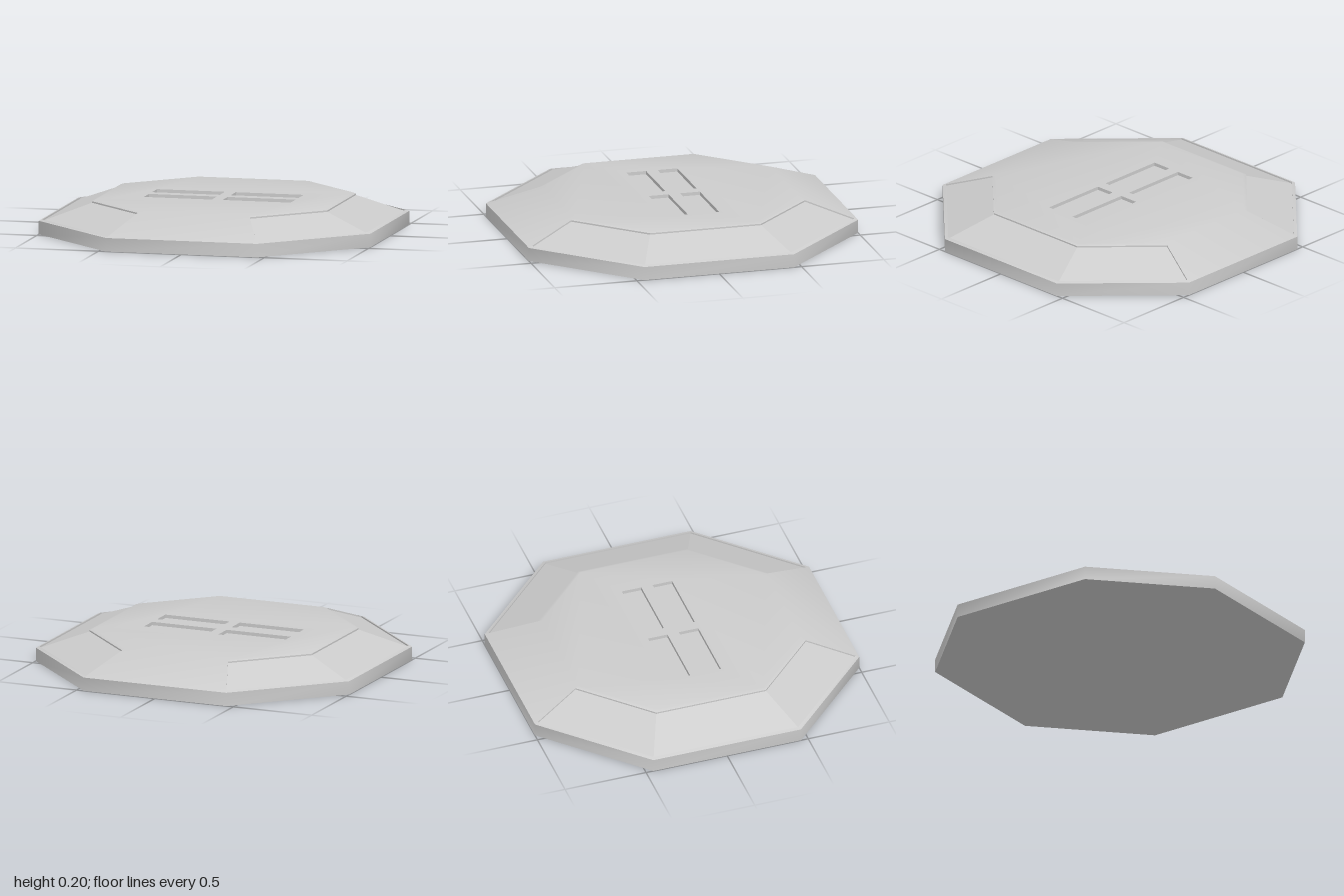
import * as THREE from 'three';
import { mergeGeometries, toCreasedNormals } from 'three/addons/utils/BufferGeometryUtils.js';

const TOP = 0.197, SLOT_DEPTH = 0.02;

// Octagon ring: half size a, corner offset b, height y; counterclockwise from above
const ring = (a, b, y) =>
  [[b, a], [a, b], [a, -b], [b, -a], [-b, -a], [-a, -b], [-a, b], [-b, a]]
    .map(([x, z]) => new THREE.Vector3(x, y, z));

function quads(list) {
  const pos = [];
  for (const [a, b, c, d] of list)
    for (const p of [a, b, c, a, c, d]) pos.push(p.x, p.y, p.z);
  const g = new THREE.BufferGeometry();
  g.setAttribute('position', new THREE.Float32BufferAttribute(pos, 3));
  g.computeVertexNormals();
  return g;
}

// Face between two rings on side i
const side = (lo, hi, i) => {
  const j = (i + 1) % 8;
  return [lo[i], lo[j], hi[j], hi[i]];
};

// Flat horizontal face from a shape drawn in (x, -z)
function flat(shape, y, down = false) {
  const g = new THREE.ShapeGeometry(shape).toNonIndexed();
  g.deleteAttribute('uv');
  g.rotateX(-Math.PI / 2);
  if (down) g.rotateX(Math.PI);
  g.translate(0, y, 0);
  return g;
}

export function createModel() {
  const group = new THREE.Group();
  const material = new THREE.MeshStandardMaterial({ color: 0xcccccc, side: THREE.DoubleSide });
  const add = (name, geometry) => {
    const mesh = new THREE.Mesh(geometry, material);
    mesh.name = name;
    group.add(mesh);
  };

  const foot = ring(1, 0.455, 0), rim = ring(1, 0.455, 0.08);
  const lip = ring(0.98, 0.447, 0.0875), panelLow = ring(0.98, 0.447, 0.0785);
  const panelHigh = ring(0.71, 0.338, 0.1805), step = ring(0.71, 0.338, 0.1895);
  const crown = ring(0.69, 0.33, TOP);
  const outline = pts => new THREE.Shape(pts.map(p => new THREE.Vector2(p.x, -p.z)));

  // Base walls and underside
  const walls = foot.map((_, i) => side(foot, rim, i));
  add('baseWall', toCreasedNormals(quads(walls), 0.9));
  add('underside', flat(outline(foot), 0, true));

  // Front and back ramps are plain; the other six sides hold sunken panels
  const body = [], panels = [];
  for (let i = 0; i < 8; i++) {
    if (i === 3 || i === 7) {
      body.push(side(rim, crown, i));
      continue;
    }
    body.push(side(rim, lip, i), side(lip, panelLow, i),
      side(panelHigh, step, i), side(step, crown, i));
    panels.push(side(panelLow, panelHigh, i));
  }
  // End walls of the sunken panels beside the ramps
  for (const i of [0, 3, 4, 7]) {
    const wall = [lip[i], panelLow[i], panelHigh[i], step[i]];
    body.push(i % 4 ? wall : wall.reverse());
  }

  // Deck with four slots
  const deck = outline(crown), slotWalls = [], floors = [];
  for (const x of [-0.24, 0.235])
    for (const z of [-0.1, 0.09]) {
      const w = 0.205, d = 0.06;
      const corners = [[-w, d], [w, d], [w, -d], [-w, -d]]
        .map(([cx, cz]) => new THREE.Vector3(x + cx, TOP, z + cz));
      const low = corners.map(p => p.clone().setY(TOP - SLOT_DEPTH));
      deck.holes.push(outline(corners));
      corners.forEach((p, k) => {
        const n = (k + 1) % 4;
        slotWalls.push([p, corners[n], low[n], low[k]]);
      });
      floors.push(low);
    }

  add('deck', toCreasedNormals(mergeGeometries(
    [quads(body), flat(deck, TOP)].map(g => {
      g.deleteAttribute('normal');
      return g;
    })), 0.6));
  add('slopedPanels', quads(panels));
  add('slots', quads([...slotWalls, ...floors]));
  return group;
}
